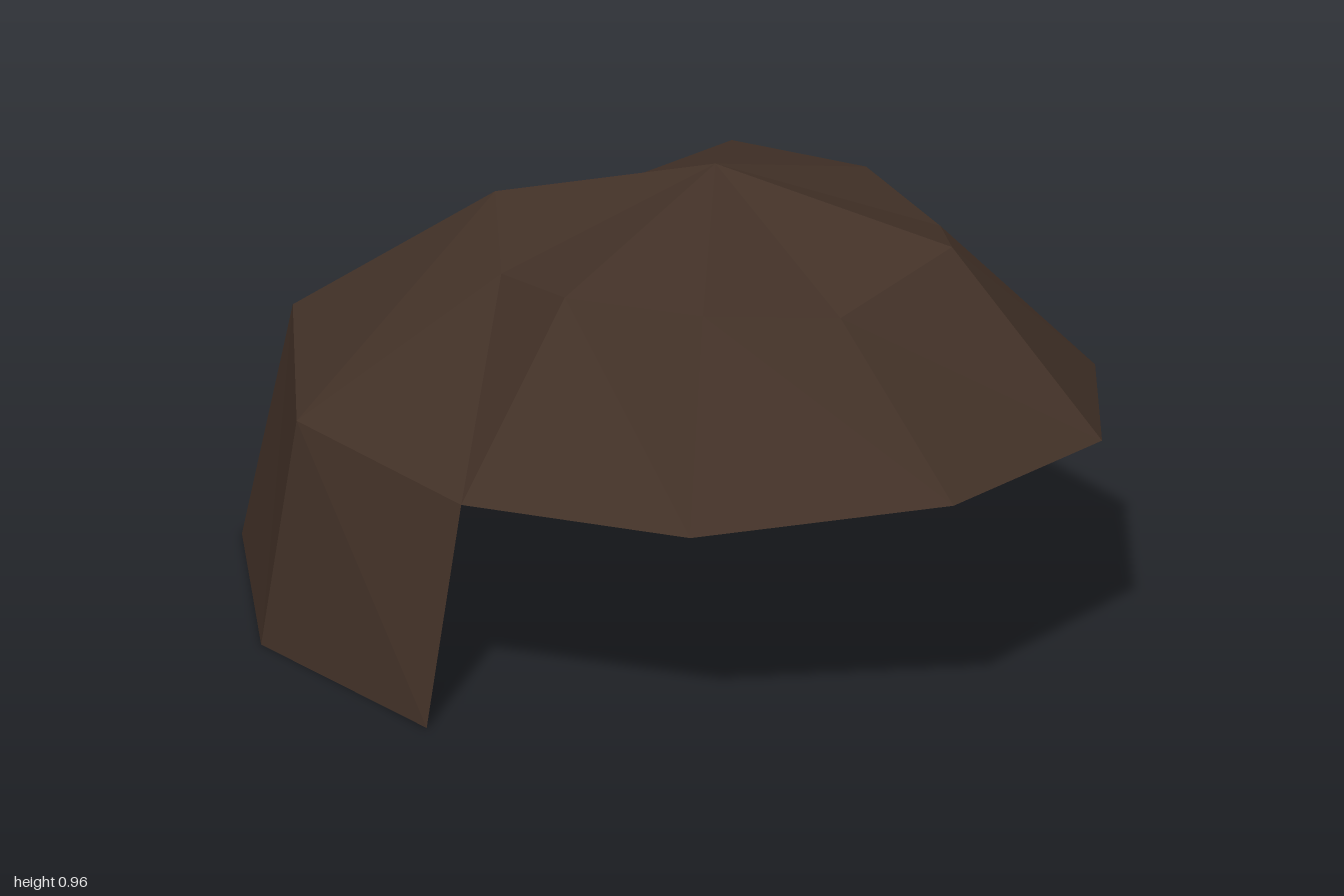
import * as THREE from 'three';

// Cross-sections, running from the left side (+x) round the front (+z) to the back
const APEX = [-0.08, 0.96, 0.06];
const CROWN = [
  [0.40, 0.81, 0.06], [0.30, 0.78, 0.34], [0.085, 0.85, 0.55], [-0.21, 0.77, 0.50], [-0.48, 0.82, 0.36],
  [-0.56, 0.81, 0.06], [-0.45, 0.765, -0.20], [-0.23, 0.83, -0.40], [0.05, 0.76, -0.36], [0.32, 0.82, -0.23],
];
const BRIM = [
  [0.71, 0.445, 0.06], [0.565, 0.445, 0.53], [0.185, 0.475, 0.865], [-0.36, 0.51, 0.925], [-0.725, 0.45, 0.53],
  [-0.89, 0.455, 0.06], [-0.79, 0.48, -0.46], [-0.37, 0.52, -0.82], [0.20, 0.485, -0.765], [0.605, 0.47, -0.435],
];
// Hem of the back half only, from the right side round the back to the left side
const HEM = [
  [-1, 0, 0.06], [-0.855, 0, -0.50], [-0.40, 0, -0.93], [0.21, 0, -0.825], [0.735, 0, -0.53], [1, 0, 0.06],
];

// Joins an upper and a lower row of points with outward-facing quads
function band(upper, lower) {
  const out = [];
  for (let i = 0; i < upper.length - 1; i++) {
    const a = upper[i], b = upper[i + 1], c = lower[i], d = lower[i + 1];
    out.push(a, b, c, b, d, c);
  }
  return out;
}

function makeMesh(name, points, material) {
  const geometry = new THREE.BufferGeometry();
  geometry.setAttribute('position', new THREE.Float32BufferAttribute(points.flat(), 3));
  geometry.computeVertexNormals(); // unshared corners give flat facets
  const mesh = new THREE.Mesh(geometry, material);
  mesh.name = name;
  return mesh;
}

export function createModel() {
  const group = new THREE.Group();
  group.name = 'hairCap';
  const brown = new THREE.MeshStandardMaterial({ color: 0x423127, flatShading: true, side: THREE.DoubleSide });
  brown.name = 'dark brown';

  const close = (ring) => [...ring, ring[0]];
  const crown = close(CROWN), brim = close(BRIM);

  // Shallow fan of facets at the top
  const fan = [];
  for (let i = 0; i < CROWN.length; i++) fan.push(APEX, crown[i + 1], crown[i]);
  group.add(makeMesh('crownTop', fan, brown));

  // Sloping sides of the dome
  group.add(makeMesh('domeSides', band(crown, brim), brown));

  // Flared curtain hanging over the back half
  group.add(makeMesh('backCurtain', band(brim.slice(5), HEM), brown));
  return group;
}
